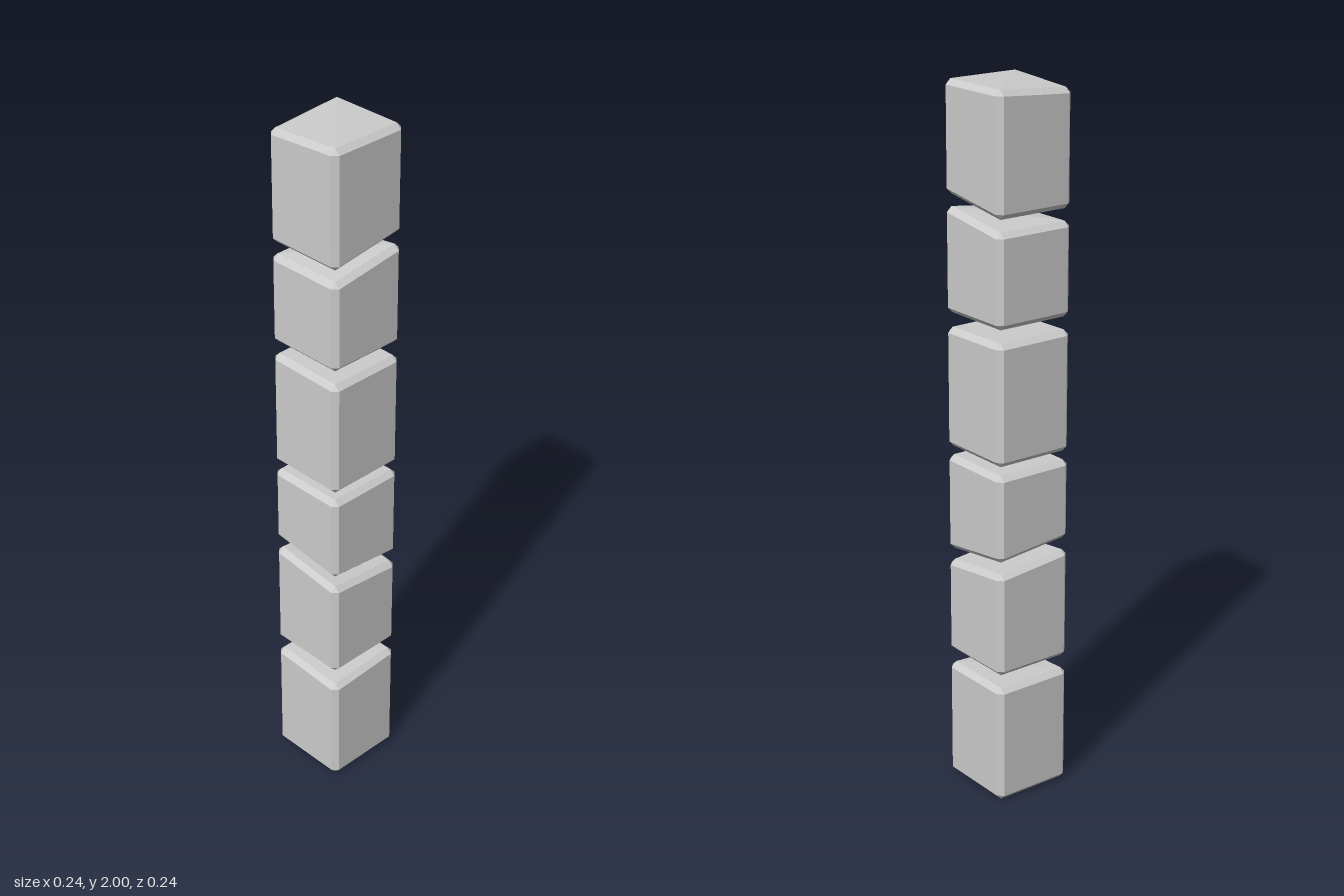
import * as THREE from 'three';
import { ConvexGeometry } from 'three/addons/geometries/ConvexGeometry.js';

const HALF = 0.12;   // half width of every block
const BEVEL = 0.015; // chamfer along every edge

// Corner order used below: back left of picture, back right, front right, front left
const CORNERS = [[-1, -1], [1, -1], [1, 1], [-1, 1]];

// Chamfered block whose four bottom and four top corners have their own heights
function blockGeometry(bottom, top) {
  const points = [];
  const inner = HALF - BEVEL;
  CORNERS.forEach(([sx, sz], i) => {
    for (const [y, inset] of [[bottom[i], BEVEL], [top[i], -BEVEL]]) {
      points.push(
        new THREE.Vector3(sx * inner, y, sz * inner),
        new THREE.Vector3(sx * HALF, y + inset, sz * inner),
        new THREE.Vector3(sx * inner, y + inset, sz * HALF)
      );
    }
  });
  return new ConvexGeometry(points);
}

const level = (y) => [y, y, y, y];

export function createModel() {
  const group = new THREE.Group();
  group.name = 'blockPillar';
  const material = new THREE.MeshStandardMaterial({ color: 0xcccccc, flatShading: true });

  // Corner heights of each stone, from the ground up
  const blocks = [
    { name: 'baseBlock', bottom: level(0), top: [0.348, 0.348, 0.336, 0.348] },
    { name: 'secondBlock', bottom: level(0.387), top: [0.69, 0.664, 0.685, 0.71] },
    { name: 'thirdBlock', bottom: [0.725, 0.698, 0.72, 0.745], top: level(0.975) },
    { name: 'fourthBlock', bottom: level(1.0), top: [1.342, 1.338, 1.338, 1.342] },
    { name: 'fifthBlock', bottom: level(1.378), top: [1.637, 1.667, 1.637, 1.637] },
    { name: 'topBlock', bottom: [1.67, 1.7, 1.67, 1.67], top: [2, 2, 2, 1.985] },
  ];

  for (const { name, bottom, top } of blocks) {
    const mesh = new THREE.Mesh(blockGeometry(bottom, top), material);
    mesh.name = name;
    group.add(mesh);
  }
  return group;
}
